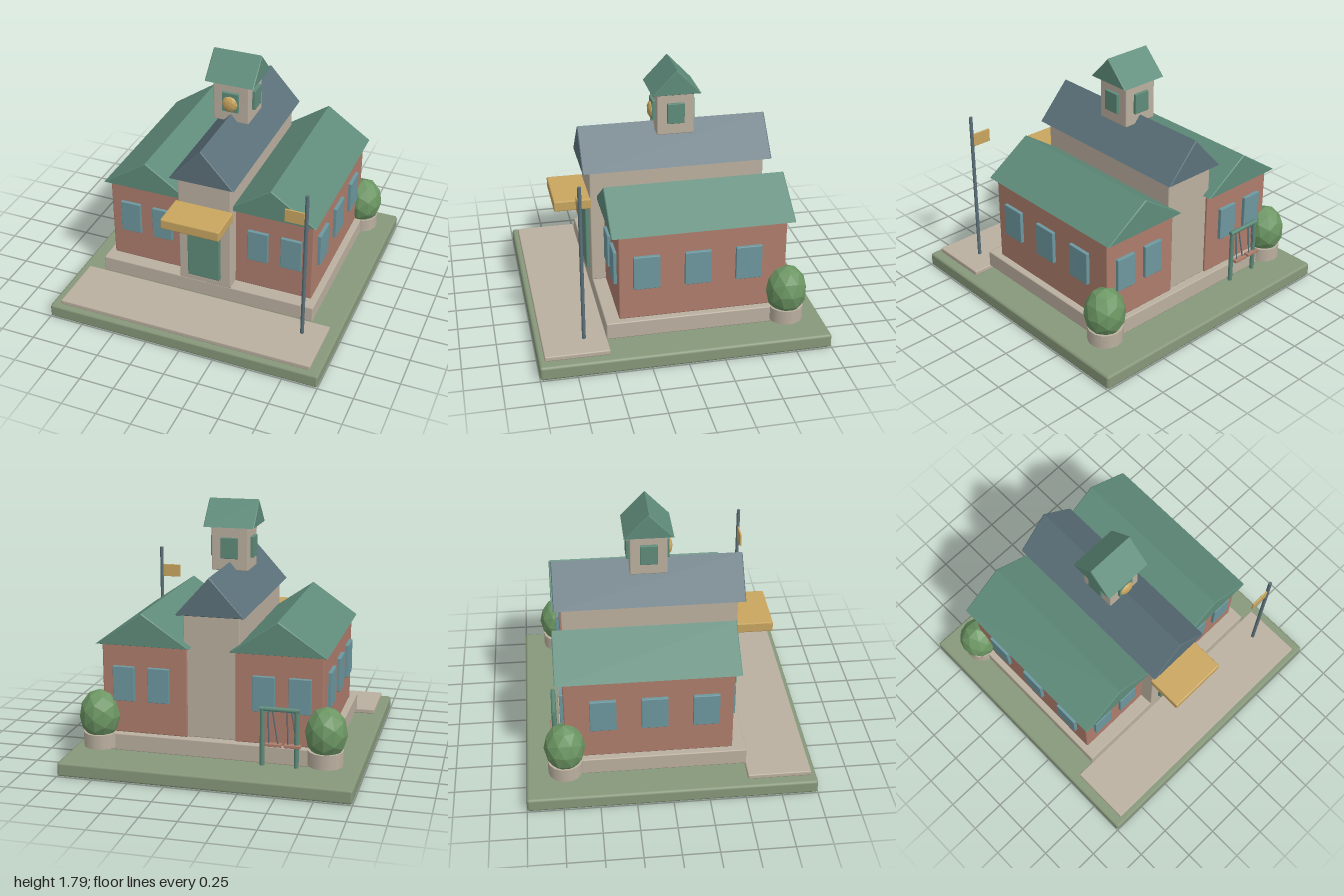
import * as THREE from 'three';
import { RoundedBoxGeometry } from 'three/addons/geometries/RoundedBoxGeometry.js';

const material = (name, color, extra = {}) => {
  const m = new THREE.MeshStandardMaterial({ color, ...extra });
  m.name = name;
  return m;
};

export function createModel() {
  const model = new THREE.Group();
  model.name = 'schoolhouse';

  const grass = material('grass green', 0x87987a);
  const stone = material('pale stone', 0xbbb0a0);
  const brick = material('brick red', 0xae7d6c);
  const green = material('roof green', 0x5f8c7b);
  const slate = material('slate grey', 0x5c717a);
  const glass = material('window blue', 0x6d979f);
  const gold = material('gold', 0xc9a660, { flatShading: true });
  const leaf = material('leaf green', 0x6c9663, { flatShading: true });

  const add = (name, geometry, mat, x = 0, y = 0, z = 0) => {
    const mesh = new THREE.Mesh(geometry, mat);
    mesh.name = name;
    mesh.position.set(x, y, z);
    model.add(mesh);
    return mesh;
  };

  // Softly bevelled box given by its extents on each axis
  const box = (name, mat, [x0, x1], [y0, y1], [z0, z1], bevel = 0.008) => {
    const w = x1 - x0, h = y1 - y0, d = z1 - z0;
    const r = Math.min(bevel, Math.min(w, h, d) * 0.3);
    return add(name, new RoundedBoxGeometry(w, h, d, 1, r), mat,
      (x0 + x1) / 2, (y0 + y1) / 2, (z0 + z1) / 2);
  };

  // Triangular prism roof with its ridge along z, centred on its length
  const gable = (name, mat, halfWidth, height, length, x, y, z) => {
    const b = 0.006;
    const shape = new THREE.Shape();
    shape.moveTo(-halfWidth, 0);
    shape.lineTo(halfWidth, 0);
    shape.lineTo(0, height);
    shape.closePath();
    const g = new THREE.ExtrudeGeometry(shape, {
      depth: length - 2 * b, bevelEnabled: true, bevelSize: b,
      bevelThickness: b, bevelOffset: -b, bevelSegments: 1,
    });
    g.translate(0, 0, b - length / 2);
    return add(name, g, mat, x, y, z);
  };

  const bar = (name, mat, a, b, radius, sides = 8) => {
    const from = new THREE.Vector3(...a), to = new THREE.Vector3(...b);
    const dir = to.clone().sub(from);
    const mesh = add(name, new THREE.CylinderGeometry(radius, radius, dir.length(), sides), mat);
    mesh.position.copy(from).add(to).multiplyScalar(0.5);
    mesh.quaternion.setFromUnitVectors(new THREE.Vector3(0, 1, 0), dir.normalize());
    return mesh;
  };

  // Ground, forecourt and plinth
  box('lawn', grass, [-1, 1], [0, 0.1], [-1, 1], 0.018);
  box('forecourt', stone, [-0.93, 0.93], [0.1, 0.135], [0.52, 0.96]);
  box('plinth', stone, [-0.8, 0.8], [0.135, 0.255], [-0.76, 0.525]);

  // Wings with their roofs and windows, mirrored
  for (const s of [-1, 1]) {
    const side = s > 0 ? 'left' : 'right';
    const span = (a, b) => (s > 0 ? [a, b] : [-b, -a]);
    box(`${side}Wing`, brick, span(0.165, 0.755), [0.255, 0.88], [-0.72, 0.43]);
    gable(`${side}WingRoof`, green, 0.325, 0.225, 1.25, s * 0.46, 0.88, -0.147);

    for (const x of [0.36, 0.603]) {
      const across = span(x - 0.075, x + 0.075);
      box(`${side}FrontWindow`, glass, across, [0.485, 0.725], [0.42, 0.453], 0.004);
      box(`${side}BackWindow`, glass, across, [0.485, 0.725], [-0.745, -0.71], 0.004);
    }
    for (const z of [0.243, -0.107, -0.457]) {
      box(`${side}SideWindow`, glass, span(0.745, 0.78), [0.485, 0.725], [z - 0.09, z + 0.09], 0.004);
    }

    // Round planter with a clipped shrub
    add(`${side}Planter`, new THREE.CylinderGeometry(0.12, 0.12, 0.1, 14), stone, s * 0.777, 0.205, -0.725);
    add(`${side}Shrub`, new THREE.IcosahedronGeometry(1, 1), leaf, s * 0.78, 0.37, -0.725)
      .scale.set(0.142, 0.18, 0.142);
  }

  // Central hall, entrance and awning
  box('hall', stone, [-0.193, 0.193], [0.255, 1.105], [-0.705, 0.53]);
  gable('hallRoof', slate, 0.235, 0.262, 1.335, 0, 1.104, -0.0875);
  box('door', green, [-0.12, 0.12], [0.315, 0.815], [0.52, 0.557]);
  box('awning', gold, [-0.212, 0.212], [0.83, 0.905], [0.525, 0.782]);

  // Bell tower with louvres on each face
  const tz = -0.0875;
  box('bellTower', stone, [-0.13, 0.13], [1.305, 1.608], [tz - 0.13, tz + 0.13]);
  gable('bellTowerRoof', green, 0.17, 0.178, 0.355, 0, 1.608, tz).rotation.y = Math.PI / 2;
  for (const s of [-1, 1]) {
    box('louvre', green, [-0.06, 0.06], [1.39, 1.535],
      [tz + s * 0.136 - 0.014, tz + s * 0.136 + 0.014], 0.004);
    box('sideLouvre', green, [s * 0.136 - 0.016, s * 0.136 + 0.016], [1.39, 1.535],
      [tz - 0.06, tz + 0.06], 0.004);
  }
  add('bell', new THREE.IcosahedronGeometry(1, 1), gold, 0, 1.453, 0.06).scale.set(0.058, 0.06, 0.028);

  // Flagpole
  bar('flagpole', slate, [0.778, 0.155, 0.677], [0.778, 1.275, 0.677], 0.013, 10);
  box('flag', gold, [0.63, 0.767], [1.045, 1.14], [0.671, 0.683], 0.002);

  // Swing set behind the building
  const sz = -0.787;
  for (const x of [-0.595, -0.365]) {
    bar('swingPost', green, [x, 0.135, sz], [x, 0.53, sz], 0.016);
  }
  bar('swingBeam', green, [-0.612, 0.525, sz], [-0.348, 0.525, sz], 0.016);
  for (const x of [-0.57, -0.443]) {
    box('swingSeat', brick, [x - 0.056, x + 0.056], [0.275, 0.295], [-0.818, -0.778], 0.003);
    for (const dx of [-0.03, 0.03]) {
      bar('swingChain', slate, [x + dx * 0.5 + 0.025, 0.52, sz], [x + dx, 0.29, -0.798], 0.005, 6);
    }
  }

  return model;
}
